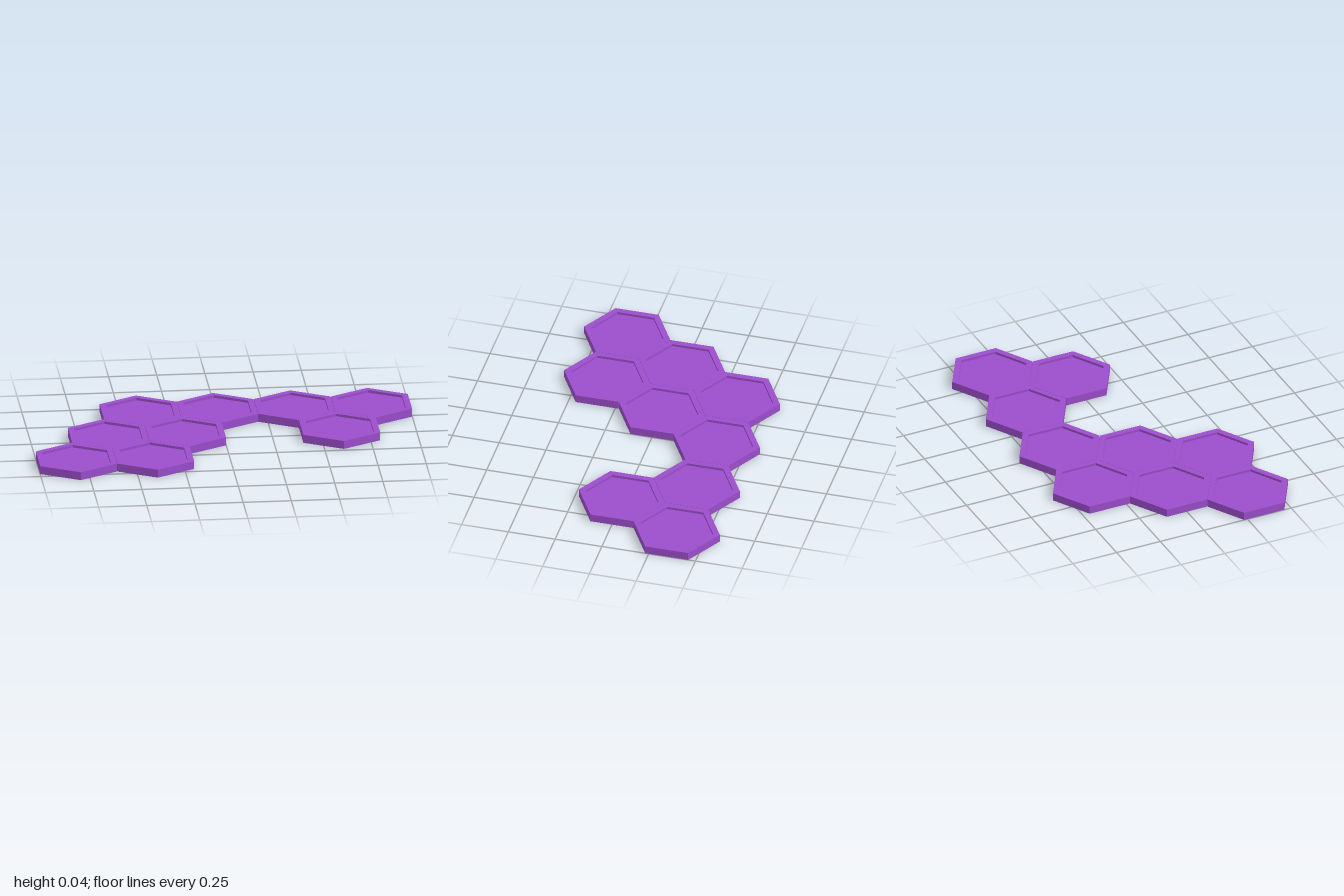
import * as THREE from 'three';

const INRADIUS = 0.2;                          // half the flat-to-flat width
const RADIUS = INRADIUS * 2 / Math.sqrt(3);    // centre to corner
const ROW_STEP = RADIUS * 1.5;
const HEIGHT = 0.043, FLOOR = 0.03;

// Tile centres along x, row by row from back to front
const ROWS = [
  { z: -ROW_STEP, xs: [-0.4, 0, 0.4, 0.8] },
  { z: 0, xs: [-0.6, -0.2, 0.6] },
  { z: ROW_STEP, xs: [-0.8, -0.4] },
];

// Six-sided tray: flat base, straight sides, raised rim, sunken floor
function tileGeometry() {
  const outer = RADIUS * 0.997, inner = RADIUS * 0.84;
  const profile = [
    [0, 0], [outer, 0], [outer, HEIGHT],
    [inner, HEIGHT], [inner, FLOOR], [0, FLOOR],
  ].map(([r, y]) => new THREE.Vector2(r, y));
  const geometry = new THREE.LatheGeometry(profile, 6).toNonIndexed();
  geometry.computeVertexNormals();
  return geometry;
}

export function createModel() {
  const model = new THREE.Group();
  model.name = 'hexTileCluster';
  const material = new THREE.MeshStandardMaterial({ color: 0x9b4dca, flatShading: true });
  const geometry = tileGeometry();

  ROWS.forEach(({ z, xs }, row) => xs.forEach((x, i) => {
    const tile = new THREE.Mesh(geometry, material);
    tile.name = `hexTile_${row + 1}_${i + 1}`;
    tile.position.set(x, 0, z);
    model.add(tile);
  }));
  return model;
}
